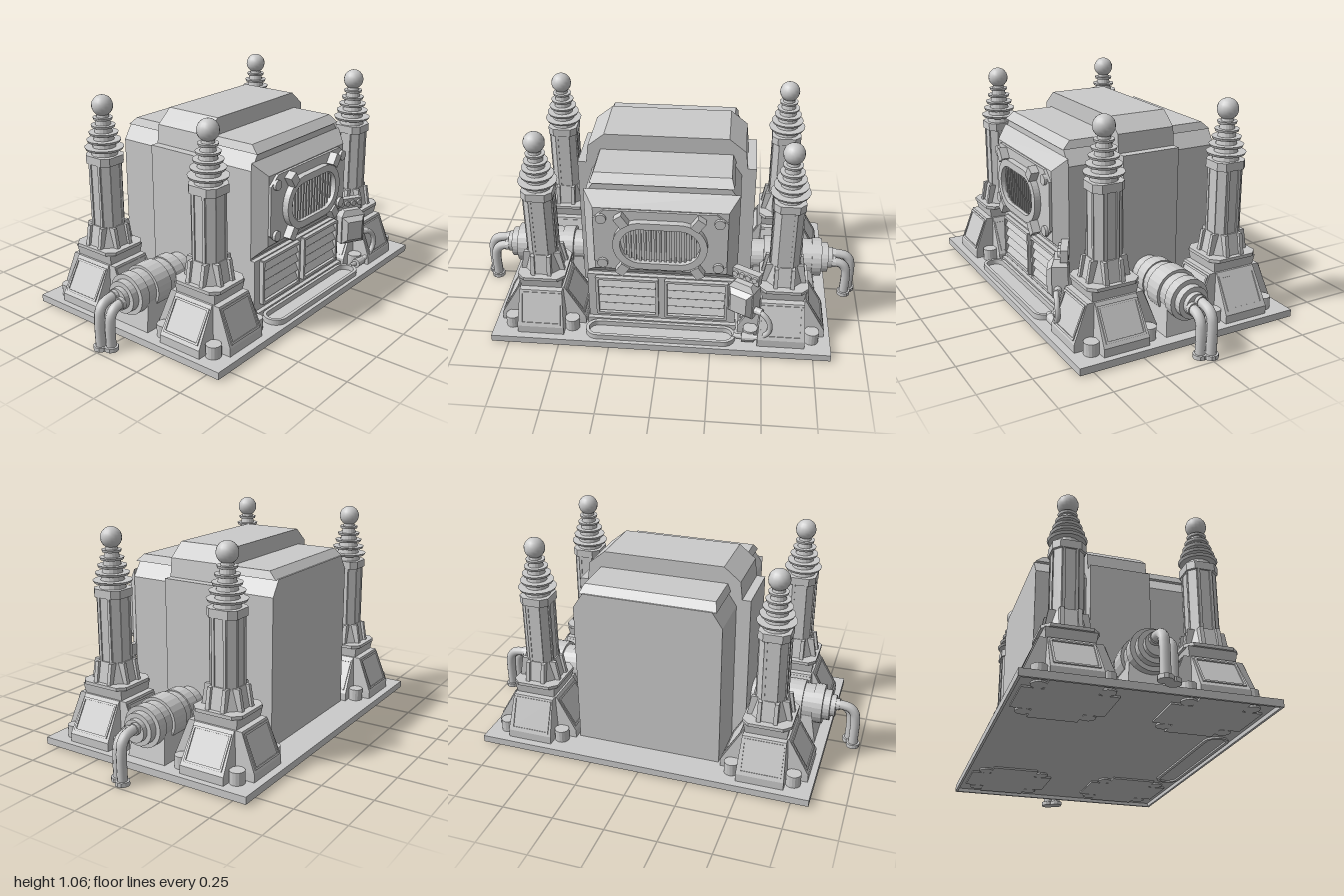
import * as THREE from 'three';

const mat = new THREE.MeshStandardMaterial({ color: 0xcccccc });
const flat = new THREE.MeshStandardMaterial({ color: 0xcccccc, flatShading: true });

function add(parent, name, geo, x = 0, y = 0, z = 0, material = flat) {
  const m = new THREE.Mesh(geo, material);
  m.name = name;
  m.position.set(x, y, z);
  parent.add(m);
  return m;
}
const box = (w, h, d) => new THREE.BoxGeometry(w, h, d);
const cyl = (rt, rb, h, n = 16) => new THREE.CylinderGeometry(rt, rb, h, n);
// Octagonal prism with flats facing the axes at distances t (top) and b (bottom)
const octagon = (t, b, h) => cyl(t * 1.082, b * 1.082, h, 8).rotateY(Math.PI / 8);

// Box standing on y = 0 whose top is wt x dt
function taper(w, d, h, wt, dt) {
  const g = new THREE.BoxGeometry(w, h, d).translate(0, h / 2, 0);
  const p = g.attributes.position;
  for (let i = 0; i < p.count; i++) {
    if (p.getY(i) > h / 2) p.setXYZ(i, p.getX(i) * wt / w, h, p.getZ(i) * dt / d);
  }
  g.computeVertexNormals();
  return g;
}
function extrude(shape, depth) {
  return new THREE.ExtrudeGeometry(shape, { depth, bevelEnabled: false, curveSegments: 12 });
}
// Mirrored outline from its right half, bottom to top
function mirrored(half) {
  const left = half.map(([x, y]) => [-x, y]).reverse();
  return new THREE.Shape([...half, ...left].map(([x, y]) => new THREE.Vector2(x, y)));
}
// Upright bar of half-widths a and b with corners cut by c
const chamferedBar = (a, b, c, h) =>
  extrude(mirrored([[a - c, -b], [a, c - b], [a, b - c], [a - c, b]]), h).rotateX(-Math.PI / 2);
// Stadium outline with half-length a and end radius r
function stadium(a, r, Kind = THREE.Shape) {
  const s = new Kind();
  s.absarc(a - r, 0, r, -Math.PI / 2, Math.PI / 2);
  s.absarc(r - a, 0, r, Math.PI / 2, Math.PI * 1.5);
  s.closePath();
  return s;
}
function stadiumRing(a, r, wall, depth) {
  const s = stadium(a, r);
  s.holes.push(stadium(a - wall, r - wall, THREE.Path));
  return extrude(s, depth);
}
function tube(points, r, n = 32) {
  const c = new THREE.CatmullRomCurve3(points.map(p => new THREE.Vector3(...p)), false, 'centripetal');
  return new THREE.TubeGeometry(c, n, r, 10);
}

function makeTower() {
  const g = new THREE.Group();
  g.name = 'insulatorTower';
  // Cross-shaped foot with framed panels on the sloping arms
  for (const [name, bottom, top, turn] of [['footArmAcross', 0.213, 0.11, 0], ['footArmAlong', 0.21, 0.14, Math.PI / 2]]) {
    const arm = new THREE.Group();
    arm.name = name;
    arm.rotation.y = turn;
    g.add(arm);
    add(arm, 'armPlinth', box(bottom * 2, 0.064, 0.23), 0, 0.048, 0);
    add(arm, 'armSlope', taper(bottom * 2, 0.23, 0.175, top * 2, 0.21), 0, 0.08, 0);
    for (const s of [-1, 1]) {
      const panel = new THREE.Group();
      panel.name = 'armPanel';
      panel.position.set(s * (bottom + top) / 2, 0.168, 0);
      panel.rotation.z = s * Math.atan2(bottom - top, 0.175);
      arm.add(panel);
      for (const e of [-1, 1]) {
        add(panel, 'panelFrame', box(0.01, 0.01, 0.2), 0, e * 0.078, 0);
        add(panel, 'panelFrame', box(0.01, 0.16, 0.01), 0, 0, e * 0.095);
      }
    }
  }
  for (const x of [-0.15, 0.15]) for (const z of [-0.145, 0.145]) {
    add(g, 'footBolt', cyl(0.036, 0.036, 0.084), x, 0.058, z);
  }
  // Collar and flared column base
  add(g, 'collar', taper(0.2, 0.22, 0.05, 0.215, 0.235), 0, 0.255, 0);
  add(g, 'collarPlate', chamferedBar(0.118, 0.13, 0.035, 0.016), 0, 0.304, 0);
  add(g, 'columnFlare', octagon(0.074, 0.095, 0.1), 0, 0.37, 0);
  // Column with chamfered corners, ribs and buttresses
  add(g, 'column', chamferedBar(0.067, 0.07, 0.03, 0.45), 0, 0.32, 0);
  for (let i = 0; i < 4; i++) {
    const side = new THREE.Group();
    side.name = 'columnSide';
    side.rotation.y = i * Math.PI / 2;
    g.add(side);
    for (const s of [-1, 1]) {
      add(side, 'columnRib', box(0.014, 0.34, 0.014), s * 0.03, 0.575, 0.066);
      add(side, 'buttress', taper(0.02, 0.115, 0.1, 0.018, 0.08), s * 0.04, 0.32, 0.05);
    }
  }
  add(g, 'columnCap', chamferedBar(0.075, 0.079, 0.03, 0.04), 0, 0.73, 0);
  // Stacked insulator discs and ball
  add(g, 'insulatorCore', cyl(0.028, 0.064, 0.2, 16), 0, 0.865, 0);
  [[0.802, 0.094], [0.838, 0.082], [0.874, 0.07], [0.91, 0.058], [0.946, 0.047]].forEach(([y, r]) =>
    add(g, 'insulatorDisc', cyl(r, r * 0.93, 0.012, 20), 0, y, 0));
  add(g, 'ball', new THREE.SphereGeometry(0.051, 16, 12), 0, 1.007, 0, mat);
  return g;
}

function makeConnector() {
  const g = new THREE.Group();
  g.name = 'sideConnector';
  // Stepped drum lying along x on a cradle
  [[0.42, 0.5, 0.08], [0.5, 0.56, 0.1], [0.56, 0.61, 0.094], [0.61, 0.7, 0.108], [0.7, 0.75, 0.094],
    [0.75, 0.8, 0.1], [0.8, 0.835, 0.078], [0.835, 0.86, 0.055]].forEach(([a, b, r]) =>
    add(g, 'drumStep', cyl(r, r, b - a, 24).rotateZ(Math.PI / 2), (a + b) / 2, 0.21, 0));
  add(g, 'cradle', taper(0.36, 0.21, 0.15, 0.3, 0.17), 0.6, 0.04, 0);
  // Twin bent pipes with feet
  for (const [z, y, x] of [[0.03, 0.205, 0.938], [-0.012, 0.228, 0.962]]) {
    add(g, 'bentPipe', tube([[0.82, y, z], [x - 0.07, y, z], [x - 0.03, y - 0.01, z], [x - 0.008, y - 0.035, z],
      [x, y - 0.075, z], [x, 0.01, z]], 0.024), 0, 0, 0, mat);
    add(g, 'pipeCuff', cyl(0.029, 0.029, 0.02, 12).rotateZ(Math.PI / 2), 0.868, y, z);
    add(g, 'pipeFoot', cyl(0.034, 0.034, 0.02, 12), x, 0.01, z);
  }
  return g;
}

function makeFront() {
  const g = new THREE.Group();
  g.name = 'frontPanel';
  // Bevelled bezel with chamfered face plate
  add(g, 'bezel', taper(0.73, 0.47, 0.062, 0.63, 0.345).rotateX(Math.PI / 2), 0, 0.573, 0.38);
  add(g, 'facePlate', extrude(mirrored([[0.26, 0.41], [0.315, 0.455], [0.315, 0.695], [0.26, 0.742]]), 0.03), 0, 0, 0.425);
  // Oval grille
  add(g, 'grilleRing', stadiumRing(0.222, 0.13, 0.035, 0.032), 0, 0.568, 0.454);
  for (let i = -7; i <= 7; i++) {
    const x = i * 0.0235;
    const h = Math.abs(x) > 0.092 ? 2 * Math.sqrt(0.095 ** 2 - (Math.abs(x) - 0.092) ** 2) : 0.19;
    add(g, 'grilleSlat', box(0.011, h, 0.014), x, 0.568, 0.461);
  }
  for (const sx of [-1, 1]) for (const sy of [-1, 1]) {
    const clamp = add(g, 'clamp', box(0.045, 0.06, 0.045), sx * 0.178, 0.568 + sy * 0.135, 0.473);
    clamp.rotation.z = -sx * sy * 0.6;
    add(g, 'faceBolt', cyl(0.025, 0.025, 0.016).rotateX(Math.PI / 2), sx * 0.275, 0.573 + sy * 0.125, 0.461);
  }
  // Louvred vents below
  add(g, 'ventWall', box(0.73, 0.29, 0.03), 0, 0.185, 0.388);
  for (const s of [-1, 1]) {
    for (const [w, h, x, y] of [[0.3, 0.014, 0, 0.107], [0.3, 0.014, 0, -0.107], [0.014, 0.22, 0.148, 0], [0.014, 0.22, -0.148, 0]])
      add(g, 'ventFrame', box(w, h, 0.03), s * 0.17 + x, 0.21 + y, 0.41);
    for (let i = 0; i < 4; i++) {
      const slat = add(g, 'louvre', box(0.28, 0.038, 0.01), s * 0.17, 0.136 + i * 0.049, 0.409);
      slat.rotation.x = -0.45;
    }
  }
  add(g, 'lowerSill', box(0.74, 0.03, 0.05), 0, 0.055, 0.4);
  // Oval rail set into the floor
  add(g, 'floorRail', stadiumRing(0.37, 0.06, 0.016, 0.051).rotateX(-Math.PI / 2), 0, 0.016, 0.49);
  return g;
}

function makeControlBox() {
  const g = new THREE.Group();
  g.name = 'controlBox';
  // Angled case with bevelled lid and a terminal block on top
  const b = new THREE.Group();
  b.name = 'boxBody';
  b.position.set(0.4, 0.265, 0.455);
  b.rotation.y = -0.5;
  g.add(b);
  add(b, 'case', box(0.135, 0.15, 0.075), 0, 0, -0.01);
  add(b, 'lid', taper(0.125, 0.145, 0.025, 0.085, 0.1).rotateX(Math.PI / 2), 0, 0, 0.027);
  add(b, 'topCap', taper(0.135, 0.075, 0.03, 0.09, 0.055), 0, 0.075, -0.01);
  add(b, 'socket', cyl(0.018, 0.018, 0.05, 12).rotateZ(Math.PI / 2), 0.08, -0.035, 0);
  add(b, 'terminalBracket', box(0.14, 0.06, 0.035), 0, 0.127, -0.03);
  for (let i = 0; i < 4; i++)
    add(b, 'terminal', cyl(0.014, 0.014, 0.02, 12).rotateX(Math.PI / 2), (i - 1.5) * 0.035, 0.132, -0.01);
  // Looping cable
  add(g, 'cable', tube([[0.465, 0.235, 0.495], [0.5, 0.225, 0.515], [0.53, 0.185, 0.525], [0.53, 0.13, 0.525],
    [0.49, 0.085, 0.515], [0.43, 0.065, 0.5], [0.36, 0.065, 0.49]], 0.013), 0, 0, 0, mat);
  add(g, 'cablePlug', cyl(0.024, 0.024, 0.06, 12).rotateZ(Math.PI / 2), 0.43, 0.066, 0.5);
  return g;
}

export function createModel() {
  const model = new THREE.Group();
  model.name = 'generator';

  // Base plate with a shallow hollow underneath
  add(model, 'basePlate', box(1.67, 0.016, 1.14), 0, 0.032, 0);
  for (const s of [-1, 1]) {
    add(model, 'baseRim', box(1.67, 0.02, 0.012), 0, 0.015, s * 0.564);
    add(model, 'baseRim', box(0.012, 0.02, 1.116), s * 0.829, 0.015, 0);
  }

  // Main housing with bevelled shoulders and a raised roof slab
  add(model, 'housing', extrude(mirrored([[0.365, 0.04], [0.365, 0.77], [0.315, 0.845]]), 0.795), 0, 0, -0.415);
  add(model, 'roofSlab', taper(0.67, 0.8, 0.037, 0.64, 0.72), 0, 0.843, -0.01);

  // Tall central band with stepped shoulders
  add(model, 'centreBand', extrude(mirrored([[0.435, 0.04], [0.435, 0.805], [0.392, 0.805], [0.382, 0.895], [0.3, 0.962]]), 0.3),
    0, 0, -0.165);

  model.add(makeFront(), makeControlBox());

  // Four corner towers and a connector on each side
  for (const s of [-1, 1]) {
    for (const z of [-0.322, 0.322]) {
      const t = makeTower();
      t.position.set(s * 0.592, 0, z);
      model.add(t);
    }
    const c = makeConnector();
    if (s < 0) c.scale.x = -1;
    model.add(c);
  }
  return model;
}
